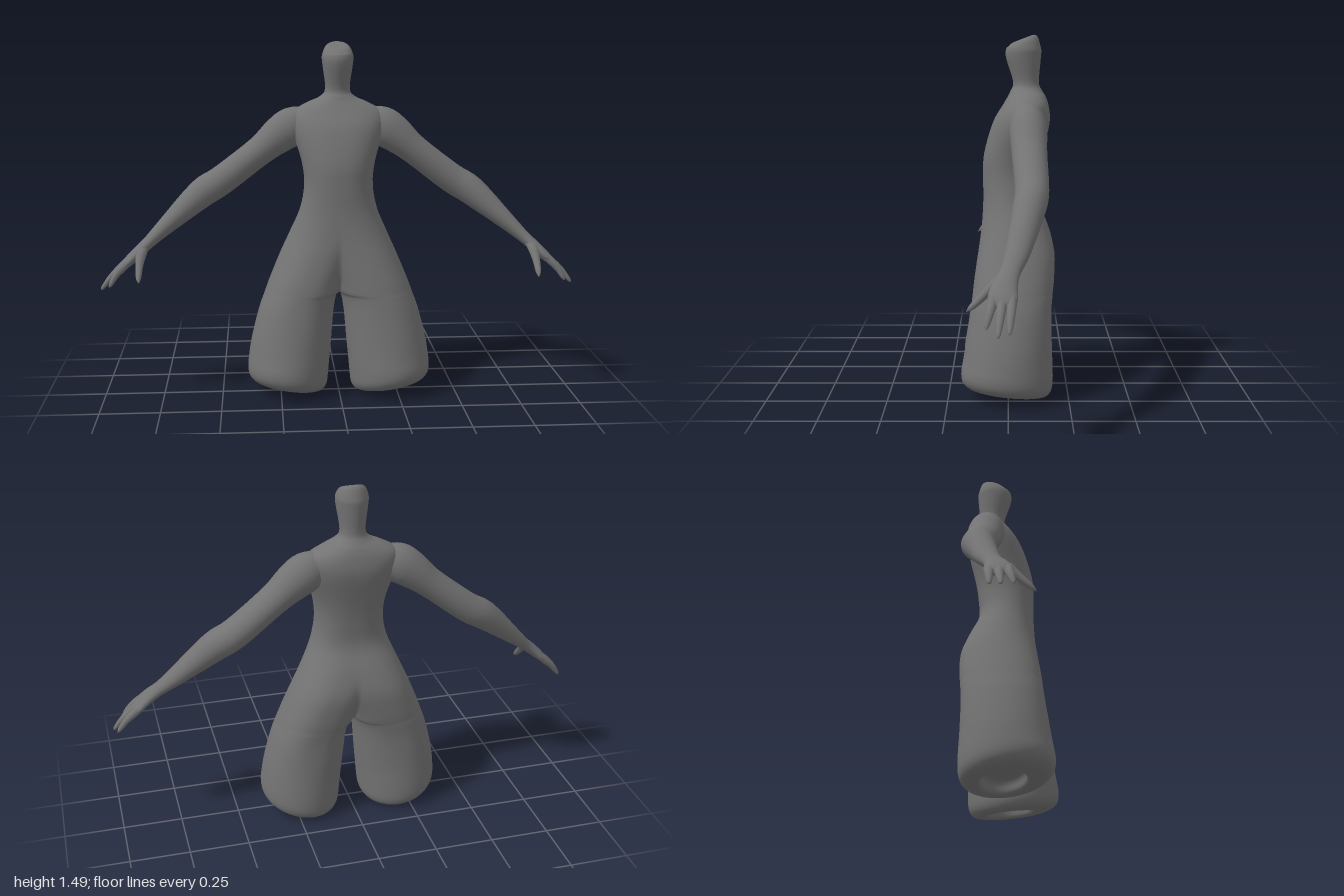
import * as THREE from 'three';

const material = new THREE.MeshStandardMaterial({ color: 0x737373, side: THREE.DoubleSide });
const { smoothstep, clamp } = THREE.MathUtils;

// Catmull-Rom interpolation of every column in a list of cross-sections
function refine(rows, steps) {
  const out = [];
  const at = i => rows[clamp(i, 0, rows.length - 1)];
  for (let i = 0; i < rows.length - 1; i++) {
    for (let s = 0; s < steps; s++) {
      const t = s / steps;
      out.push(rows[i].map((p1, k) => {
        const p0 = at(i - 1)[k], p2 = at(i + 1)[k], p3 = at(i + 2)[k];
        return 0.5 * (2 * p1 + (p2 - p0) * t + (2 * p0 - 5 * p1 + 4 * p2 - p3) * t * t
          + (3 * p1 - p0 - 3 * p2 + p3) * t * t * t);
      }));
    }
  }
  out.push(rows[rows.length - 1]);
  return out;
}

// Skin a list of equally long point rings
function skin(rings, closed) {
  const n = rings[0].length, index = [];
  for (let i = 0; i < rings.length - 1; i++) {
    for (let j = 0; j < (closed ? n : n - 1); j++) {
      const a = i * n + j, b = i * n + (j + 1) % n;
      index.push(a, b, a + n, b, b + n, a + n);
    }
  }
  const geometry = new THREE.BufferGeometry().setFromPoints(rings.flat());
  geometry.setIndex(index);
  geometry.computeVertexNormals();
  return geometry;
}

// Half of head, torso and one leg: arcs that stop at the middle plane and close into a leg below the crotch
function bodyHalf() {
  // Head to waist: y, half width, front z, back z
  const upper = [
    [1.476, 0.001, -0.059, -0.061],
    [1.474, 0.046, -0.008, -0.11],
    [1.44, 0.065, 0.008, -0.135],
    [1.40, 0.064, 0.01, -0.135],
    [1.30, 0.052, -0.02, -0.127],
    [1.265, 0.075, -0.01, -0.14],
    [1.24, 0.13, 0.002, -0.155],
    [1.20, 0.19, 0.025, -0.168],
    [1.13, 0.193, 0.065, -0.172],
    [1.00, 0.155, 0.102, -0.143],
    [0.90, 0.145, 0.106, -0.128],
    [0.80, 0.163, 0.106, -0.126],
  ].map(([y, w, front, back]) => [y, -w, w, front, back]);
  // Hips to hem, then up into the hollow: y, inner x, outer x, front z, back z
  const lower = [
    [0.70, -0.14, 0.205, 0.112, -0.165],
    [0.60, -0.08, 0.25, 0.125, -0.192],
    [0.50, -0.03, 0.292, 0.14, -0.19],
    [0.45, -0.012, 0.311, 0.146, -0.185],
    [0.43, 0.008, 0.318, 0.148, -0.183],
    [0.36, 0.022, 0.343, 0.157, -0.178],
    [0.22, 0.034, 0.378, 0.178, -0.18],
    [0.11, 0.046, 0.39, 0.194, -0.184],
    [0.055, 0.055, 0.385, 0.188, -0.176],
    [0.027, 0.078, 0.355, 0.15, -0.15],
    [0.026, 0.12, 0.31, 0.09, -0.1],
    [0.07, 0.133, 0.297, 0.072, -0.082],
    [0.075, 0.214, 0.216, -0.004, -0.006],
  ];
  const n = 48;
  const rings = refine([...upper, ...lower], 4).map(([y, xi, xo, zf, zb]) => {
    const cx = (xi + xo) / 2, rx = Math.max((xo - xi) / 2, 1e-4);
    const cz = (zf + zb) / 2, rz = (zf - zb) / 2;
    // Slanted hem and slanted top of the head
    const hem = 1 - smoothstep(y, 0.075, 0.18), crown = smoothstep(y, 1.44, 1.47);
    // Trunk and thighs are squarer than an ellipse, most of all behind
    const square = smoothstep(y, 0.15, 0.4) * (1 - smoothstep(y, 1.18, 1.26));
    return Array.from({ length: n + 1 }, (_, j) => {
      const t = 2 * j / n - 1;
      const power = 1 - (t < 0 ? 0.22 : 0.13) * square;
      const end = Math.acos(-Math.pow(clamp(cx / rx, 0, 1), 1 / power));
      const c = Math.cos(end * t);
      const dx = rx * Math.sign(c) * Math.pow(Math.abs(c), power), dz = rz * Math.sin(end * t);
      return new THREE.Vector3(cx + dx, y + 0.15 * hem * dx + (0.1 * hem - 0.38 * crown) * dz, cz + dz);
    });
  });
  const geometry = skin(rings, false);
  // Smooth the shading over the middle seam and the inner leg seam
  const normal = geometry.attributes.normal, p = new THREE.Vector3(), q = new THREE.Vector3();
  rings.forEach((ring, i) => {
    const a = i * (n + 1), b = a + n;
    p.fromBufferAttribute(normal, a);
    q.fromBufferAttribute(normal, b);
    if (ring[0].distanceTo(ring[n]) < 1e-4) {
      p.add(q).normalize();
      q.copy(p);
    } else {
      p.setX(0).normalize();
      q.setX(0).normalize();
    }
    normal.setXYZ(a, p.x, p.y, p.z);
    normal.setXYZ(b, q.x, q.y, q.z);
  });
  return geometry;
}

// Limb along a path; rows are x, y, z, radius across, radius in depth
function limb(table, sides) {
  const rows = refine(table, 4);
  const pos = rows.map(r => new THREE.Vector3(r[0], r[1], r[2]));
  const rings = rows.map((r, i) => {
    const d = pos[Math.min(i + 1, pos.length - 1)].clone().sub(pos[Math.max(i - 1, 0)]).normalize();
    const v = new THREE.Vector3(0, 0, 1).addScaledVector(d, -d.z).normalize();
    const u = v.clone().cross(d);
    return Array.from({ length: sides }, (_, j) => {
      const a = j / sides * Math.PI * 2;
      return pos[i].clone().addScaledVector(u, r[3] * Math.cos(a)).addScaledVector(v, r[4] * Math.sin(a));
    });
  });
  return skin(rings, true);
}

function add(group, name, geometry) {
  const mesh = new THREE.Mesh(geometry, material);
  mesh.name = name;
  group.add(mesh);
}

function buildSide() {
  const side = new THREE.Group();
  add(side, 'torsoAndLeg', bodyHalf());

  // Shoulder, arm, wrist and palm
  add(side, 'arm', limb([
    [0.08, 1.145, -0.075, 0.03, 0.03],
    [0.13, 1.145, -0.075, 0.068, 0.055],
    [0.19, 1.138, -0.078, 0.083, 0.073],
    [0.25, 1.10, -0.08, 0.077, 0.075],
    [0.33, 1.035, -0.083, 0.063, 0.07],
    [0.49, 0.912, -0.09, 0.063, 0.066],
    [0.58, 0.855, -0.078, 0.062, 0.063],
    [0.73, 0.725, -0.036, 0.037, 0.048],
    [0.80, 0.662, -0.008, 0.026, 0.038],
    [0.85, 0.618, 0.012, 0.024, 0.047],
    [0.90, 0.573, 0.02, 0.018, 0.051],
    [0.923, 0.553, 0.02, 0.0005, 0.0005],
  ], 28));

  // Three fingers: base z, tip x, y, z
  [[0.054, 0.963, 0.488, 0.075], [0.02, 1, 0.468, 0.034], [-0.014, 0.987, 0.476, -0.006]].forEach(([z, tx, ty, tz], i) => {
    add(side, 'finger' + (i + 1), limb([
      [0.87, 0.60, z, 0.013, 0.013],
      [0.895, 0.578, z, 0.017, 0.018],
      [0.451 + tx / 2, 0.295 + ty / 2, (z + tz) / 2, 0.014, 0.015],
      [tx - 0.008, ty + 0.012, tz, 0.008, 0.009],
      [tx, ty, tz, 0.0005, 0.0005],
    ], 12));
  });

  // Thumb
  add(side, 'thumb', limb([
    [0.81, 0.65, 0.01, 0.015, 0.015],
    [0.828, 0.62, 0.05, 0.021, 0.019],
    [0.834, 0.58, 0.088, 0.016, 0.015],
    [0.834, 0.54, 0.13, 0.011, 0.011],
    [0.832, 0.522, 0.15, 0.0005, 0.0005],
  ], 14));
  return side;
}

export function createModel() {
  const model = new THREE.Group();
  model.name = 'figure';
  const left = buildSide();
  left.name = 'leftSide';
  const right = left.clone();
  right.name = 'rightSide';
  right.scale.x = -1;
  model.add(left, right);
  return model;
}
